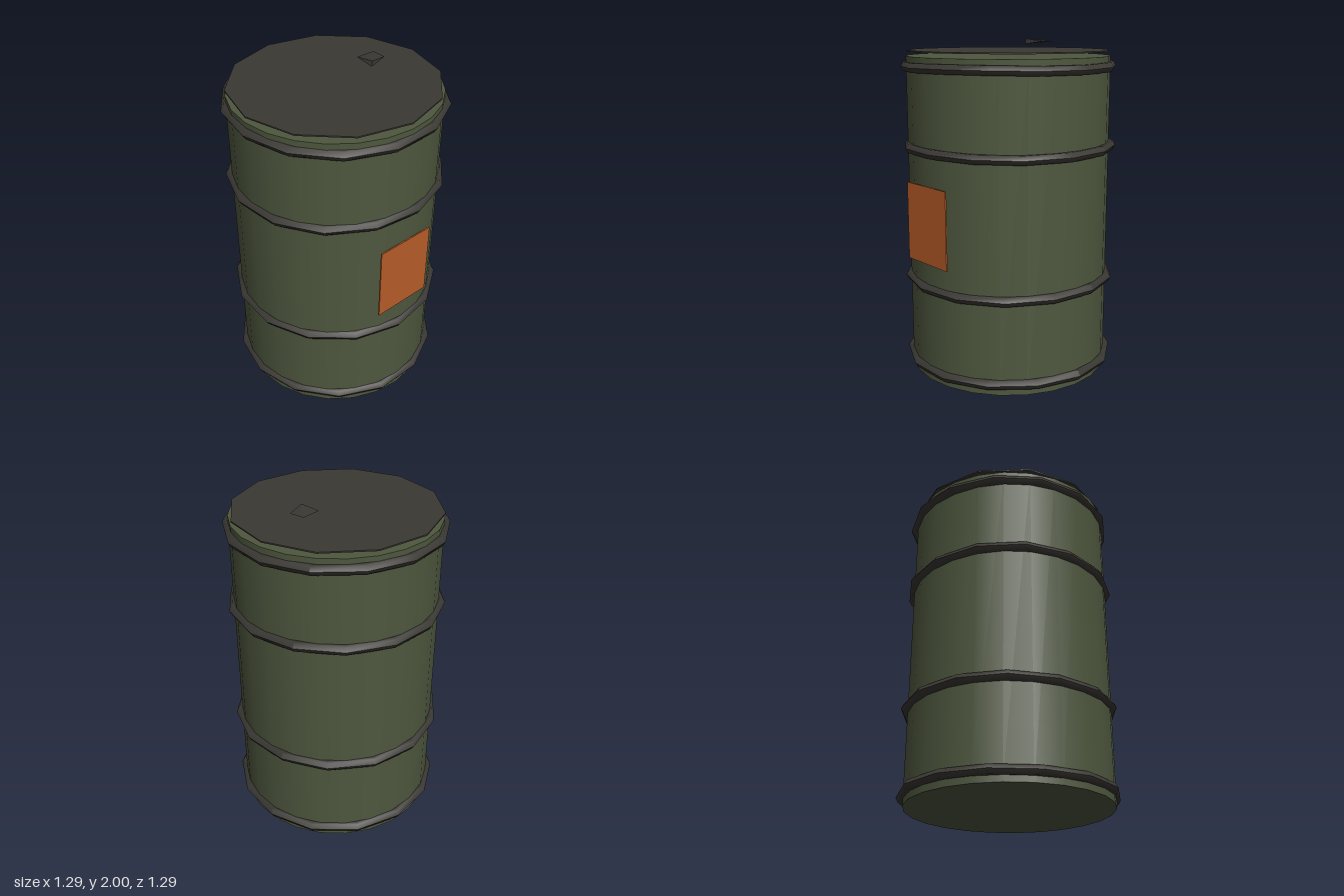
import * as THREE from 'three';
import { ConvexGeometry } from 'three/addons/geometries/ConvexGeometry.js';

export function createModel() {
  const green = new THREE.MeshStandardMaterial({ color: 0x4e573e });
  green.name = 'olive green';
  const dark = new THREE.MeshStandardMaterial({ color: 0x3a3833 });
  dark.name = 'dark steel';
  const orange = new THREE.MeshStandardMaterial({ color: 0xb85c28 });
  orange.name = 'rust orange';

  const group = new THREE.Group();
  group.name = 'barrel';
  const add = (name, geometry, material, x = 0, y = 0, z = 0) => {
    const mesh = new THREE.Mesh(geometry, material);
    mesh.name = name;
    mesh.position.set(x, y, z);
    group.add(mesh);
    return mesh;
  };

  // Drum wall with its ends
  add('body', new THREE.CylinderGeometry(0.607, 0.607, 1.9, 24), green, -0.005, 0.95, 0.003);

  // Coarse hoops, each with a slightly uneven run and its own turn
  [0.065, 0.57, 1.37, 1.84].forEach((y, i) => {
    const hoop = new THREE.TorusGeometry(0.613, 0.031, 6, 14);
    hoop.rotateX(Math.PI / 2);
    const p = hoop.attributes.position;
    for (let k = 0; k < p.count; k++) {
      const a = Math.atan2(p.getZ(k), p.getX(k));
      p.setY(k, p.getY(k) + 0.003 * Math.sin(3 * a + i));
    }
    hoop.computeVertexNormals();
    const mesh = add('hoop' + (i + 1), hoop, dark, -0.002, y, 0);
    mesh.rotation.y = i * 0.16;
  });

  // Thin lid, held just above the rim
  add('lid', new THREE.CylinderGeometry(0.605, 0.605, 0.008, 12), dark, -0.005, 1.929, 0);

  // Wedge-shaped bung above the lid
  const bung = [
    [0.21, 1.986, -0.055], [0.33, 1.986, -0.052], [0.333, 1.985, 0.04],
    [0.22, 2.0, 0.06], [0.212, 1.97, 0.064],
  ].map((c) => new THREE.Vector3(...c));
  add('bung', new ConvexGeometry(bung), dark);

  // Label plate on the front
  add('label', new THREE.BoxGeometry(0.375, 0.46, 0.008), orange, -0.008, 0.95, 0.612);

  return group;
}
